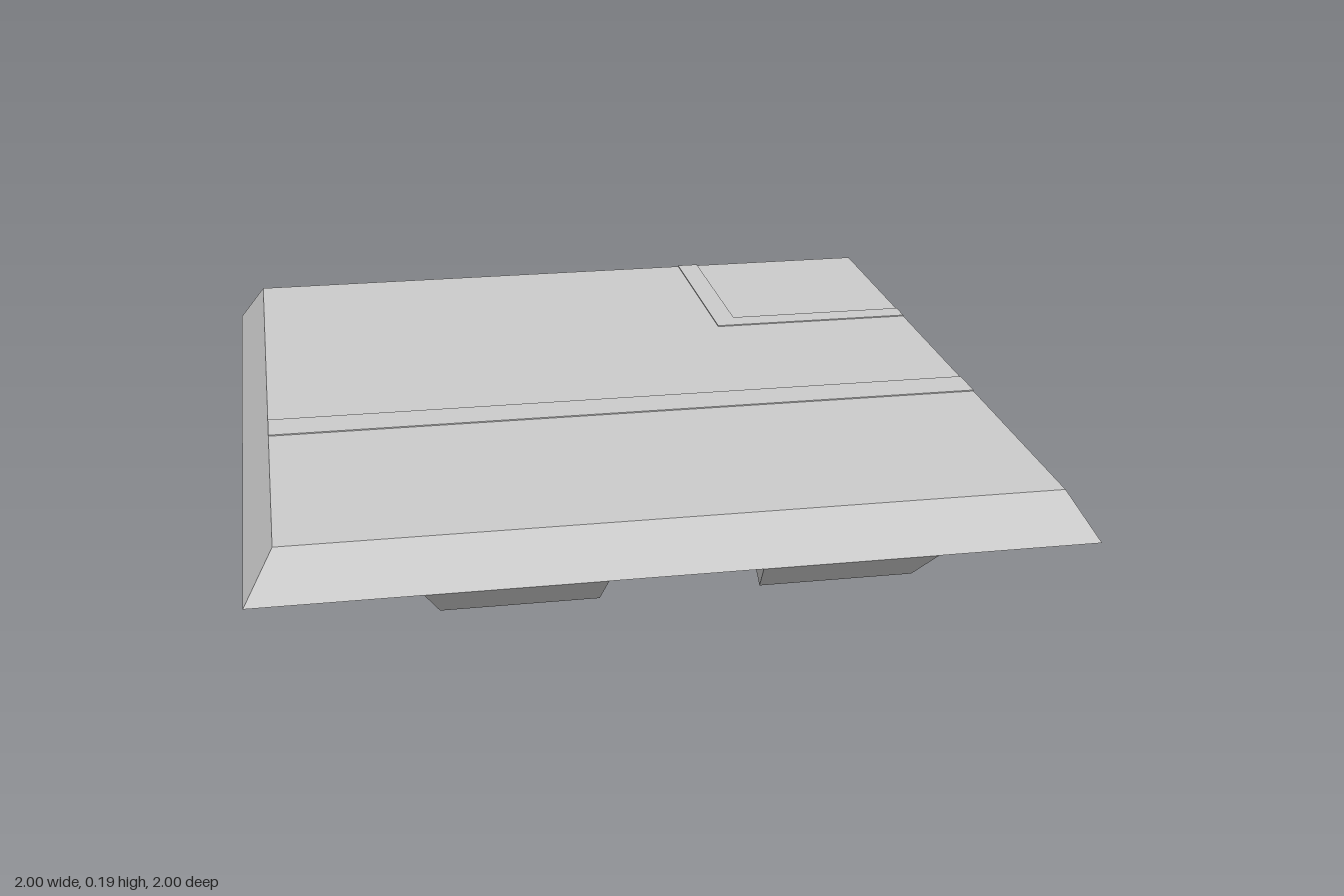
import * as THREE from 'three';

const material = new THREE.MeshStandardMaterial({ color: 0xcccccc, flatShading: true, side: THREE.DoubleSide });
const TOP = 0.192, RIM = 0.08, INSET = 0.928;

function add(group, name, geometry) {
  const mesh = new THREE.Mesh(geometry, material);
  mesh.name = name;
  group.add(mesh);
  return mesh;
}

// Box given by its limits on each axis
function box(group, name, x0, x1, y0, y1, z0, z1) {
  const mesh = add(group, name, new THREE.BoxGeometry(Math.abs(x1 - x0), y1 - y0, z1 - z0));
  mesh.position.set((x0 + x1) / 2, (y0 + y1) / 2, (z0 + z1) / 2);
}

// Flat rectangle facing up (or down)
function plate(group, name, x0, x1, z0, z1, y, down = false) {
  const mesh = add(group, name, new THREE.PlaneGeometry(Math.abs(x1 - x0), z1 - z0));
  mesh.rotation.x = down ? Math.PI / 2 : -Math.PI / 2;
  mesh.position.set((x0 + x1) / 2, y, (z0 + z1) / 2);
}

// Surface from triangles of [x, y, z] corners
function surface(corners) {
  const geometry = new THREE.BufferGeometry();
  geometry.setAttribute('position', new THREE.Float32BufferAttribute(corners.flat(), 3));
  geometry.computeVertexNormals();
  return geometry;
}

// Upright wall following an outline of [x, z] points
function wall(outline, y0, y1) {
  const corners = [];
  for (let i = 0; i < outline.length - 1; i++) {
    const [a, b] = [outline[i], outline[i + 1]];
    const a0 = [a[0], y0, a[1]], a1 = [a[0], y1, a[1]];
    const b0 = [b[0], y0, b[1]], b1 = [b[0], y1, b[1]];
    corners.push(a0, b0, b1, a0, b1, a1);
  }
  return surface(corners);
}

export function createModel() {
  const model = new THREE.Group();
  model.name = 'floorPanel';

  // Sloped skirt on four sides, open underneath
  const skirt = new THREE.CylinderGeometry(INSET * Math.SQRT2, Math.SQRT2, TOP - RIM, 4, 1, true)
    .rotateY(Math.PI / 4).toNonIndexed();
  skirt.computeVertexNormals();
  add(model, 'slopedSkirt', skirt).position.y = (TOP + RIM) / 2;

  // Top deck with very low raised strips
  const deck = new THREE.Group();
  deck.name = 'topDeck';
  model.add(deck);
  plate(deck, 'deckSheet', -INSET, INSET, -INSET, INSET, TOP);
  box(deck, 'crossStrip', -INSET, INSET, TOP - 0.001, TOP + 0.003, 0.17, 0.275);
  box(deck, 'cornerStripAcross', 0.37, INSET, TOP - 0.001, TOP + 0.003, -0.41, -0.345);
  box(deck, 'cornerStripAlong', 0.37, 0.43, TOP - 0.001, TOP + 0.003, -INSET, -0.41);

  // Underside, mirrored left and right
  for (const s of [1, -1]) {
    const side = new THREE.Group();
    side.name = s > 0 ? 'leftUnderside' : 'rightUnderside';
    model.add(side);

    // Long open channel with a chamfered rear end
    add(side, 'channelWall', wall([
      [s * 0.59, 0.92], [s * 0.59, -0.38], [s * 0.52, -0.45],
      [s * 0.25, -0.45], [s * 0.18, -0.38], [s * 0.18, 0.92],
    ], 0.115, TOP - 0.004));

    // Pointed tab hanging below the front end of the channel
    const [o, i, ol, il] = [s * 0.6, s * 0.18, s * 0.56, s * 0.19];
    const fo = [o, RIM, 1], fi = [i, RIM, 1], bo = [o, RIM, 0.875], bi = [i, RIM, 0.875];
    const lo = [ol, 0, 0.925], li = [il, 0, 0.925];
    const tab = [fo, fi, li, fo, li, lo, fo, lo, bo, fi, bi, li];
    // Mirroring flips the corner order
    if (s < 0) for (let k = 0; k < tab.length; k += 3) [tab[k], tab[k + 1]] = [tab[k + 1], tab[k]];
    add(side, 'frontTab', surface(tab));

    // Recessed service panels beside and behind the channel
    plate(side, 'sidePanel', s * 0.61, s * 0.93, -0.6, 0.86, 0.15, true);
    plate(side, 'rearPanel', s * 0.06, s * 0.66, -0.93, -0.5, 0.15, true);

    // Short brackets against the skirt
    for (const z of [-0.55, -0.1]) box(side, 'bracket', s * 0.86, s * 0.93, 0.09, 0.18, z, z + 0.34);

    // Two nested runs of conduit along the side; the right ones start further forward
    for (const [r, front] of [[0.83, 0.68], [0.68, 0.53]]) {
      box(side, 'sideConduit', s * (r - 0.02), s * (r + 0.02), 0.125, 0.155, s > 0 ? -r : -0.45, front);
    }
  }

  // Conduit runs turning across the rear
  for (const [r, end] of [[0.83, -0.4], [0.68, 0.3]]) {
    box(model, 'rearConduit', end, r + 0.02, 0.125, 0.155, -r - 0.02, -r + 0.02);
  }

  // Central spine between the channels
  plate(model, 'spinePanel', -0.15, 0.15, -0.74, 0.1, 0.17, true);
  box(model, 'spineConduit', -0.03, 0.03, 0.13, 0.17, -0.74, 0.43);
  box(model, 'spineBlock', -0.1, 0.1, 0.135, 0.17, -0.2, -0.1);

  return model;
}
